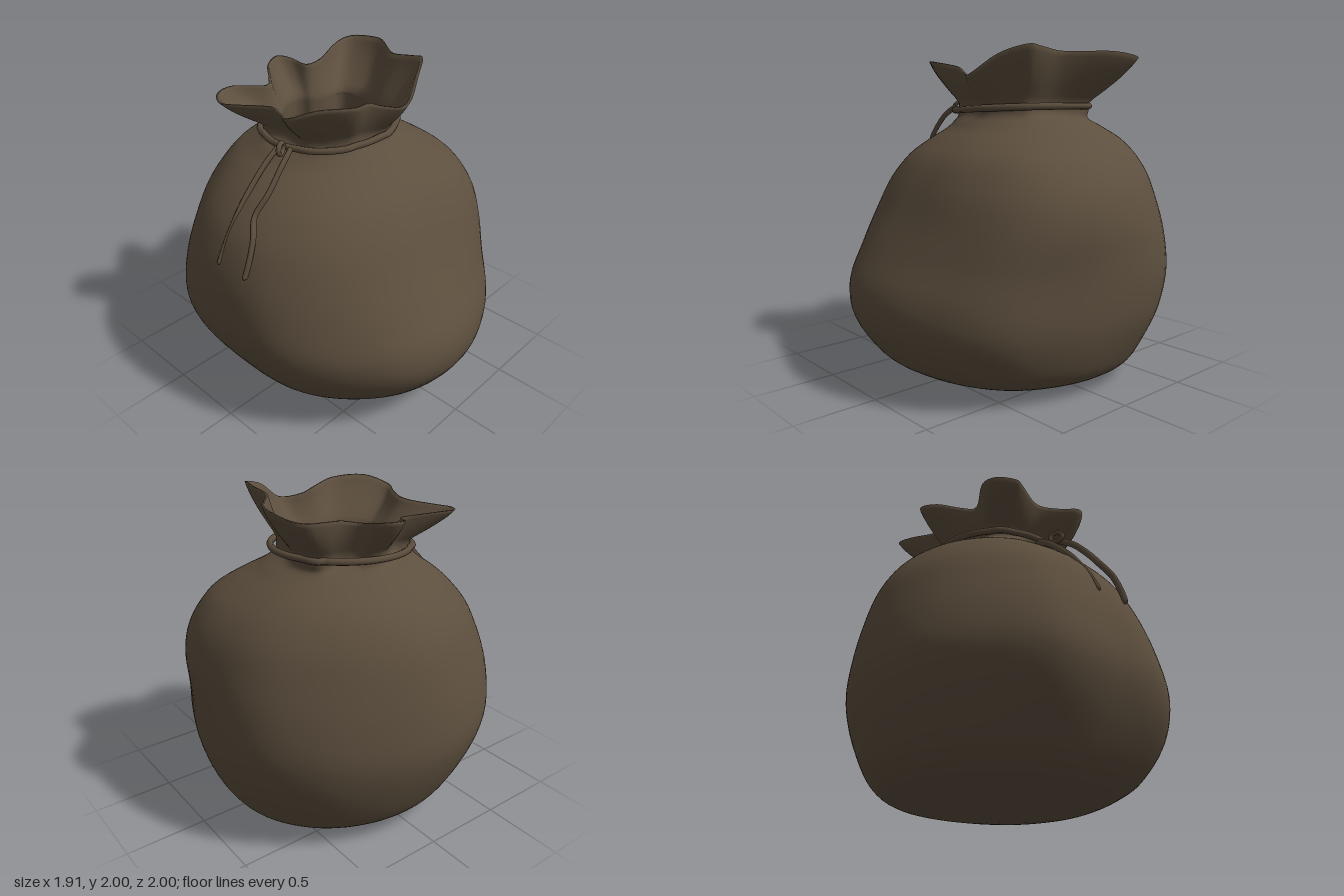
import * as THREE from 'three';

const COLS = 116;
const CX = 0.03, CZ = -0.12; // centre of the neck
const { smoothstep, lerp } = THREE.MathUtils;

// Ruffled rim, clockwise from the back left: x, y, z
const RIM = [
  [-0.57, 1.83, -0.42], [-0.5, 1.84, -0.52], [-0.38, 1.85, -0.535], [-0.2, 1.83, -0.44],
  [-0.12, 1.84, -0.5], [-0.02, 1.87, -0.62], [0.1, 1.89, -0.67], [0.16, 1.88, -0.6],
  [0.18, 1.86, -0.48], [0.28, 1.88, -0.45], [0.45, 1.91, -0.51], [0.58, 1.93, -0.535],
  [0.65, 1.95, -0.47], [0.65, 1.97, -0.27], [0.55, 1.97, -0.12], [0.47, 1.97, 0],
  [0.47, 1.99, 0.15], [0.45, 2.0, 0.24], [0.3, 1.95, 0.33], [0.13, 1.84, 0.4],
  [0, 1.85, 0.34], [-0.1, 1.89, 0.32], [-0.27, 1.92, 0.355], [-0.45, 1.93, 0.26],
  [-0.55, 1.88, 0.13], [-0.5, 1.86, 0.02], [-0.45, 1.85, -0.1], [-0.47, 1.84, -0.2],
  [-0.55, 1.83, -0.35],
];

// Sack outline: height, left x, right x, back z, front z
const BODY = [
  [0, -0.36, 0.4, -0.45, 0.4], [0.012, -0.47, 0.53, -0.56, 0.49], [0.04, -0.57, 0.67, -0.68, 0.59],
  [0.1, -0.67, 0.775, -0.775, 0.72], [0.2, -0.76, 0.84, -0.86, 0.86],
  [0.4, -0.88, 0.91, -0.95, 0.98], [0.6, -0.95, 0.94, -1, 0.98],
  [0.8, -0.95, 0.95, -0.99, 0.88], [1, -0.91, 0.94, -0.955, 0.77], [1.2, -0.82, 0.88, -0.9, 0.67],
  [1.35, -0.69, 0.78, -0.82, 0.57], [1.45, -0.57, 0.66, -0.73, 0.45], [1.52, -0.47, 0.54, -0.62, 0.345],
  [1.58, -0.41, 0.45, -0.52, 0.29], [1.64, -0.39, 0.42, -0.48, 0.27],
];

const vec = (p) => new THREE.Vector3(...p);
const smoothCurve = (pts, closed = false) => new THREE.CatmullRomCurve3(pts.map(vec), closed, 'catmullrom', 0.5);

// Uneven bulging of belly and shoulder, every 22.5 degrees from +x towards +z
const BELLY = [0.99, 0.97, 1, 0.985, 1, 1.02, 1.01, 1.02, 1, 1.05, 1.015, 1.01, 1, 1, 1.035, 1.055];
const SHOULDER = [1, 1.06, 1.1, 1.05, 1, 1.02, 1.04, 1.02, 1, 0.99, 0.97, 0.98, 1, 0.98, 0.97, 0.99];
const bulgeCurve = smoothCurve(BELLY.map((b, i) => [b, SHOULDER[i], 0]), true);

const rimCurve = smoothCurve(RIM, true);
const rim = Array.from({ length: COLS }, (_, i) => rimCurve.getPoint(i / COLS));
const angles = rim.map((p) => Math.atan2(p.z - CZ, p.x - CX));
const bulges = angles.map((a) => bulgeCurve.getPoint((a / (2 * Math.PI) + 1) % 1));

// Gathered neck: half the shape of the rim, half an ellipse
const neck = rim.map((p, i) => new THREE.Vector3(
  CX - 0.005 + 0.32 * (p.x - CX) + 0.2 * Math.cos(angles[i]), 1.64,
  CZ + 0.015 + 0.33 * (p.z - CZ) + 0.2 * Math.sin(angles[i])));

// Loft through rows of points, outward facing
function loft(rows) {
  const pos = rows.flat().flatMap((p) => [p.x, p.y, p.z]);
  const index = [];
  for (let r = 0; r < rows.length - 1; r++) {
    for (let c = 0; c < COLS; c++) {
      const d = (c + 1) % COLS;
      const a = r * COLS + c, b = r * COLS + d, e = a + COLS, f = b + COLS;
      index.push(a, e, b, b, e, f);
    }
  }
  const g = new THREE.BufferGeometry();
  g.setAttribute('position', new THREE.Float32BufferAttribute(pos, 3));
  g.setIndex(index);
  g.computeVertexNormals();
  return g;
}

function sackGeometry() {
  const rows = [];
  const xs = smoothCurve(BODY.map((b) => [b[1], b[0], b[2]]));
  const zs = smoothCurve(BODY.map((b) => [b[3], b[0], b[4]]));
  // Belly, turning from round to gathered near the neck
  const steps = (BODY.length - 1) * 4;
  for (let s = 0; s <= steps; s++) {
    const X = xs.getPoint(s / steps), Z = zs.getPoint(s / steps), y = Math.max(0, X.y);
    const fold = smoothstep(y, 1.55, 1.63);
    const high = smoothstep(y, 0.6, 1.2);
    const uneven = (0.4 + 0.6 * smoothstep(y, 0.1, 0.5)) * (1 - smoothstep(y, 1.35, 1.6));
    rows.push(angles.map((a, i) => {
      const k = 1 + (lerp(bulges[i].x, bulges[i].y, high) - 1) * uneven;
      return new THREE.Vector3(
        (X.x + X.z) / 2 + (X.z - X.x) / 2 * k * Math.cos(a), y,
        (Z.x + Z.z) / 2 + (Z.z - Z.x) / 2 * k * Math.sin(a)).lerp(neck[i].clone().setY(y), fold);
    }));
  }
  // Flat bottom
  rows.unshift(rows[0].map(() => new THREE.Vector3(0.02, 0, -0.02)));
  // Flared collar outside, then back down inside with the cloth's thickness
  const collar = (t, inset) => rim.map((p, i) => {
    const f = Math.max(0, (t - 0.12) / 0.88);
    const q = neck[i].clone().lerp(p, 0.6 * f + 0.4 * Math.sin(f * Math.PI / 2));
    q.y = lerp(1.64, p.y, t);
    q.x -= inset * Math.cos(angles[i]);
    q.z -= inset * Math.sin(angles[i]);
    return q;
  });
  for (let s = 1; s <= 10; s++) rows.push(collar(s / 10, 0));
  for (let s = 10; s >= 0; s--) rows.push(collar(s / 10, 0.018));
  rows.push(collar(0, 0.018).map((p) => p.setY(1.46)));
  return loft(rows);
}

export function createModel() {
  const group = new THREE.Group();
  const material = (name, color) => Object.assign(new THREE.MeshStandardMaterial({ color }), { name });
  const cloth = material('brown cloth', 0x5d4f3e);
  const cord = material('brown cord', 0x5a4c3c);
  const gold = material('gold', 0xcaa953);
  const add = (name, geometry, mat) => {
    const m = new THREE.Mesh(geometry, mat);
    m.name = name;
    group.add(m);
    return m;
  };

  add('sack', sackGeometry(), cloth);

  // Cord tied round the neck
  const ring = [];
  for (let i = 0; i < COLS; i += 2) {
    const c = Math.cos(angles[i]), s = Math.sin(angles[i]);
    const r = Math.max(1 / Math.hypot(c / 0.43, s / 0.39), Math.hypot(neck[i].x - CX, neck[i].z - CZ) + 0.014);
    ring.push([CX - 0.01 + r * c, 1.638 + 0.018 * c, CZ + 0.01 + r * s]);
  }
  add('neckCord', new THREE.TubeGeometry(smoothCurve(ring, true), 160, 0.021, 8, true), cord);

  // Knot loop
  const knot = add('knotLoop', new THREE.TorusGeometry(0.04, 0.016, 8, 20), cord);
  knot.position.set(-0.475, 1.642, -0.01);
  knot.rotation.y = 0.5;
  knot.scale.y = 0.8;

  // Two flattened hanging ends
  const ends = [
    [-0.105, [[-0.4, 1.61, 0], [-0.52, 1.525, 0], [-0.66, 1.39, 0], [-0.77, 1.25, 0], [-0.84, 1.14, 0], [-0.89, 1.045, 0]]],
    [0.08, [[-0.45, 1.65, -0.06], [-0.55, 1.58, -0.015], [-0.66, 1.46, 0], [-0.75, 1.35, -0.03], [-0.81, 1.25, 0.05], [-0.86, 1.13, 0.07], [-0.89, 1.045, 0.06]]],
  ];
  for (const [z, path] of ends) {
    const end = add('cordEnd', new THREE.TubeGeometry(smoothCurve(path), 30, 0.02, 8), cord);
    const tip = add('cordTip', new THREE.SphereGeometry(0.02, 8, 6), cord);
    const [tx, ty, tz] = path[path.length - 1];
    end.position.z = z;
    tip.position.set(tx, ty, z + tz * 0.6);
    end.scale.z = tip.scale.z = 0.6;
  }

  // Coins heaped in the mouth
  const heap = add('coinHeap', new THREE.CylinderGeometry(1, 1, 0.03, 40), gold);
  heap.scale.set(0.47, 1, 0.44);
  heap.position.set(0.03, 1.475, -0.13);
  for (const [x, y, z] of [[-0.2, 1.495, 0.01], [0.24, 1.505, -0.1], [0.015, 1.53, -0.27]]) {
    add('coin', new THREE.CylinderGeometry(0.2, 0.2, 0.03, 40), gold).position.set(x, y, z);
  }
  return group;
}
